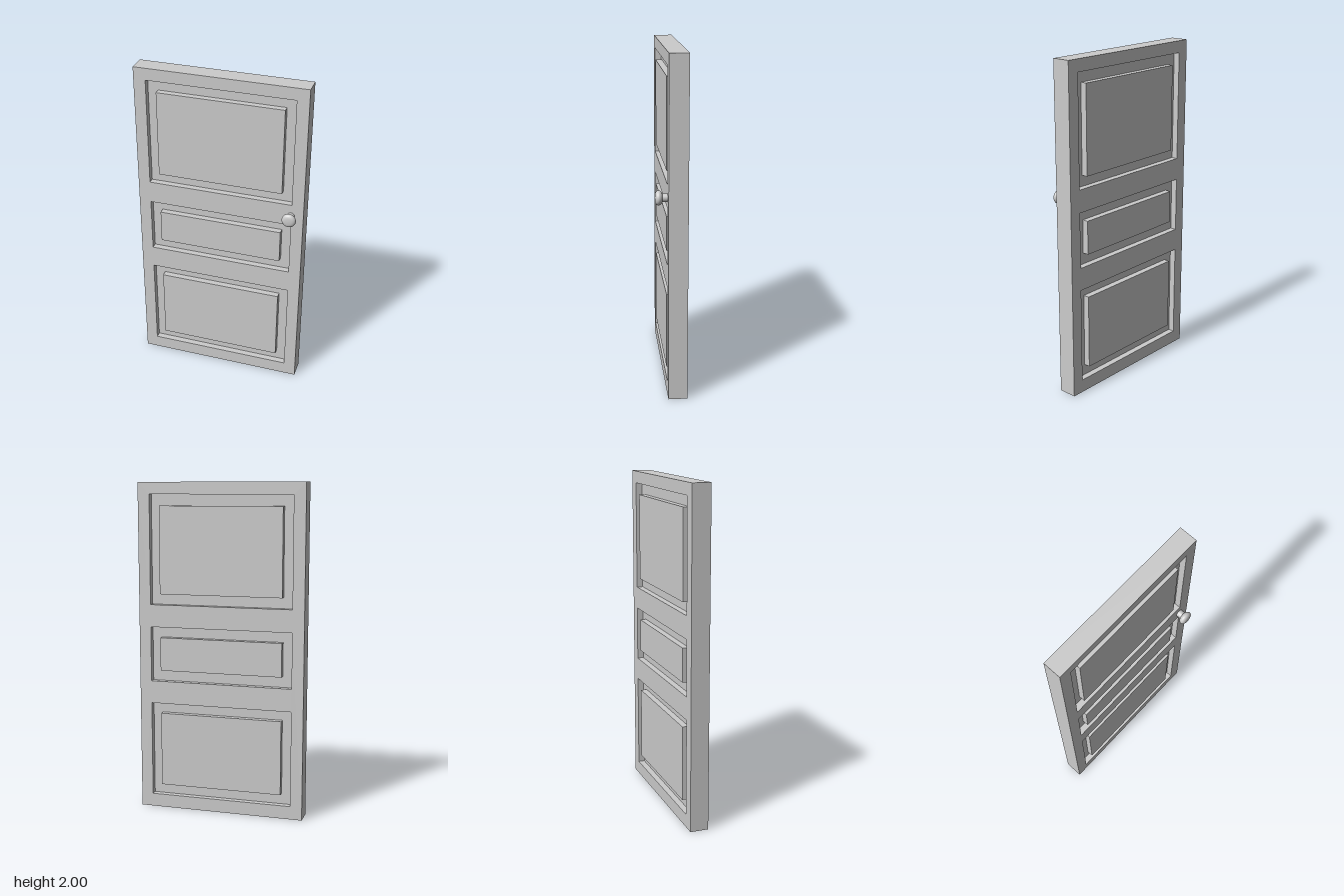
import * as THREE from 'three';

const W = 1.02, H = 2, BACK = -0.093, FRONT = 0.018;
const DEPTH = FRONT - BACK, MID = (FRONT + BACK) / 2;
const RECESS = 0.038;
const OPEN_X = 0.438, FIELD_X = 0.377;

// Vertical limits of each opening and of the raised field inside it
const PANELS = [
  { name: 'lower', open: [0.08, 0.662], field: [0.146, 0.6] },
  { name: 'middle', open: [0.8, 1.134], field: [0.867, 1.07] },
  { name: 'upper', open: [1.27, 1.928], field: [1.335, 1.861] },
];

function trace(path, halfWidth, y0, y1) {
  path.moveTo(-halfWidth, y0);
  path.lineTo(halfWidth, y0);
  path.lineTo(halfWidth, y1);
  path.lineTo(-halfWidth, y1);
  path.closePath();
  return path;
}

export function createModel() {
  const door = new THREE.Group();
  door.name = 'door';
  const material = new THREE.MeshStandardMaterial({ color: 0xcccccc });

  function add(name, geometry, x, y, z, parent = door) {
    const mesh = new THREE.Mesh(geometry, material);
    mesh.name = name;
    mesh.position.set(x, y, z);
    parent.add(mesh);
    return mesh;
  }

  // Frame of stiles and rails with three openings
  const outline = trace(new THREE.Shape(), W / 2, 0, H);
  for (const p of PANELS) outline.holes.push(trace(new THREE.Path(), OPEN_X, ...p.open));
  add('frame', new THREE.ExtrudeGeometry(outline, { depth: DEPTH, bevelEnabled: false }), 0, 0, BACK);

  // Recessed panels, each with a raised field on both faces
  for (const { name, open, field } of PANELS) {
    const panel = new THREE.Group();
    panel.name = name + 'Panel';
    door.add(panel);
    const core = new THREE.BoxGeometry(OPEN_X * 2, open[1] - open[0], DEPTH - RECESS * 2);
    add('recessedPanel', core, 0, (open[0] + open[1]) / 2, MID, panel);
    const raised = new THREE.BoxGeometry(FIELD_X * 2, field[1] - field[0], DEPTH);
    add('raisedField', raised, 0, (field[0] + field[1]) / 2, MID, panel);
  }

  // Knob: short stem and a flattened round handle, turned about z
  const knob = new THREE.Group();
  knob.name = 'knob';
  knob.position.set(0.436, 1.197, FRONT);
  knob.rotation.x = Math.PI / 2;
  door.add(knob);
  add('knobStem', new THREE.CylinderGeometry(0.023, 0.023, 0.036, 32), 0, 0.018, 0, knob);
  const profile = new THREE.SplineCurve([
    [0, 0.028], [0.022, 0.029], [0.036, 0.037], [0.042, 0.05],
    [0.037, 0.062], [0.023, 0.069], [0, 0.071],
  ].map(([r, y]) => new THREE.Vector2(r, y))).getPoints(24);
  profile[0].x = profile[profile.length - 1].x = 0;
  add('knobHandle', new THREE.LatheGeometry(profile, 40), 0, 0, 0, knob);

  return door;
}
